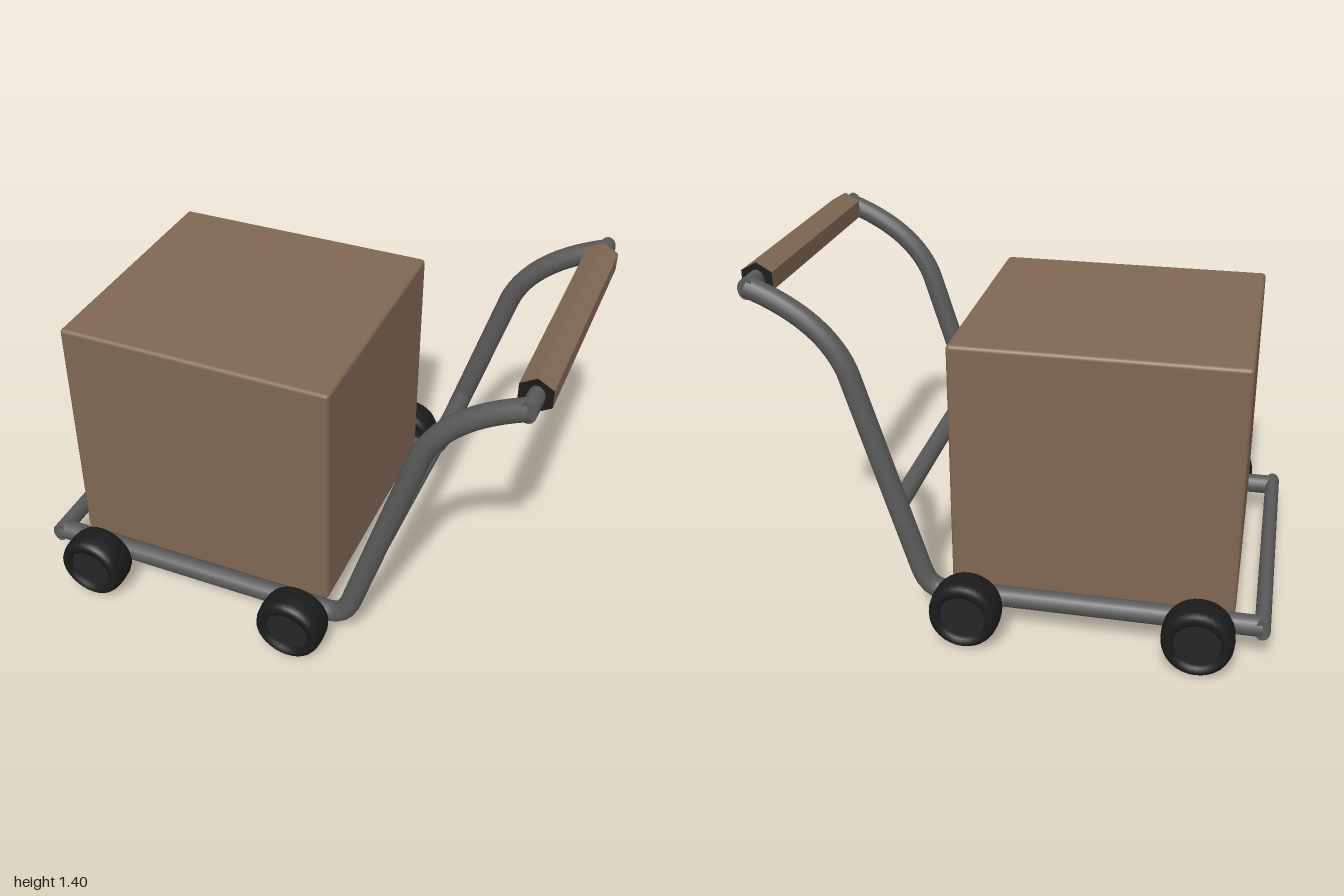
import * as THREE from 'three';
import { RoundedBoxGeometry } from 'three/addons/geometries/RoundedBoxGeometry.js';

const material = (name, color) => {
  const m = new THREE.MeshStandardMaterial({ color });
  m.name = name;
  return m;
};

export function createModel() {
  const steel = material('steelGrey', 0x595959);
  const deckGrey = material('deckGrey', 0x414141);
  const tyreBlack = material('tyreBlack', 0x1b1b1b);
  const hubBlack = material('hubBlack', 0x252525);
  const brown = material('cardboardBrown', 0x7f6753);

  const model = new THREE.Group();
  model.name = 'pushCart';
  const add = (name, geometry, mat, x = 0, y = 0, z = 0) => {
    const mesh = new THREE.Mesh(geometry, mat);
    mesh.name = name;
    mesh.position.set(x, y, z);
    model.add(mesh);
  };

  // Bent side rails, from the deck up to the handle
  const p = (x, y) => new THREE.Vector3(x, y, 0);
  const rail = new THREE.CurvePath();
  rail.add(new THREE.LineCurve3(p(-0.97, 0.143), p(0.25, 0.143)));
  rail.add(new THREE.QuadraticBezierCurve3(p(0.25, 0.143), p(0.315, 0.143), p(0.343, 0.235)));
  rail.add(new THREE.LineCurve3(p(0.343, 0.235), p(0.588, 1.035)));
  rail.add(new THREE.QuadraticBezierCurve3(p(0.588, 1.035), p(0.665, 1.235), p(0.945, 1.337)));
  const railGeometry = new THREE.TubeGeometry(rail, 90, 0.041, 16);
  for (const side of [1, -1]) {
    add(side > 0 ? 'frontRail' : 'backRail', railGeometry, steel, 0, 0, side * 0.552);
  }

  // Bars joining the two rails
  const bar = (name, x, y, rx, ry, length) => {
    const geometry = new THREE.CylinderGeometry(1, 1, length, 20).rotateX(Math.PI / 2);
    add(name, geometry.scale(rx, ry, 1), steel, x, y, 0);
  };
  bar('endBar', -0.97, 0.143, 0.03, 0.041, 1.17);
  bar('crossBar', 0.425, 0.495, 0.036, 0.036, 1.08);
  bar('handleBar', 0.94, 1.337, 0.03, 0.04, 1.16);

  // Six-sided hand grip with dark end caps and crisp edges
  const gripGeometry = new THREE.CylinderGeometry(0.068, 0.068, 0.954, 6).rotateX(Math.PI / 2).toNonIndexed();
  gripGeometry.computeVertexNormals();
  add('handGrip', gripGeometry, [brown, tyreBlack, tyreBlack], 0.938, 1.337, 0);

  // Carried box and the plate beneath it
  add('cargoBox', new RoundedBoxGeometry(1.095, 1.0, 1.035, 3, 0.016), brown, -0.318, 0.655, 0);
  add('deckPlate', new THREE.BoxGeometry(0.94, 0.02, 1.03), deckGrey, -0.31, 0.15, 0);

  // Wheels: rounded tyre with a recessed hub on both faces
  const outline = [
    [0.088, -0.05], [0.092, -0.066], [0.115, -0.068], [0.127, -0.06], [0.134, -0.04],
    [0.137, 0],
    [0.134, 0.04], [0.127, 0.06], [0.115, 0.068], [0.092, 0.066], [0.088, 0.05],
  ].map(([r, h]) => new THREE.Vector2(r, h));
  const tyreGeometry = new THREE.LatheGeometry(outline, 32).rotateX(Math.PI / 2);
  const hubGeometry = new THREE.CylinderGeometry(0.09, 0.09, 0.1, 32).rotateX(Math.PI / 2);
  for (const x of [-0.74, 0.14]) {
    for (const side of [1, -1]) {
      add('tyre', tyreGeometry, tyreBlack, x, 0.138, side * 0.66);
      add('hub', hubGeometry, hubBlack, x, 0.138, side * 0.66);
    }
  }

  return model;
}
